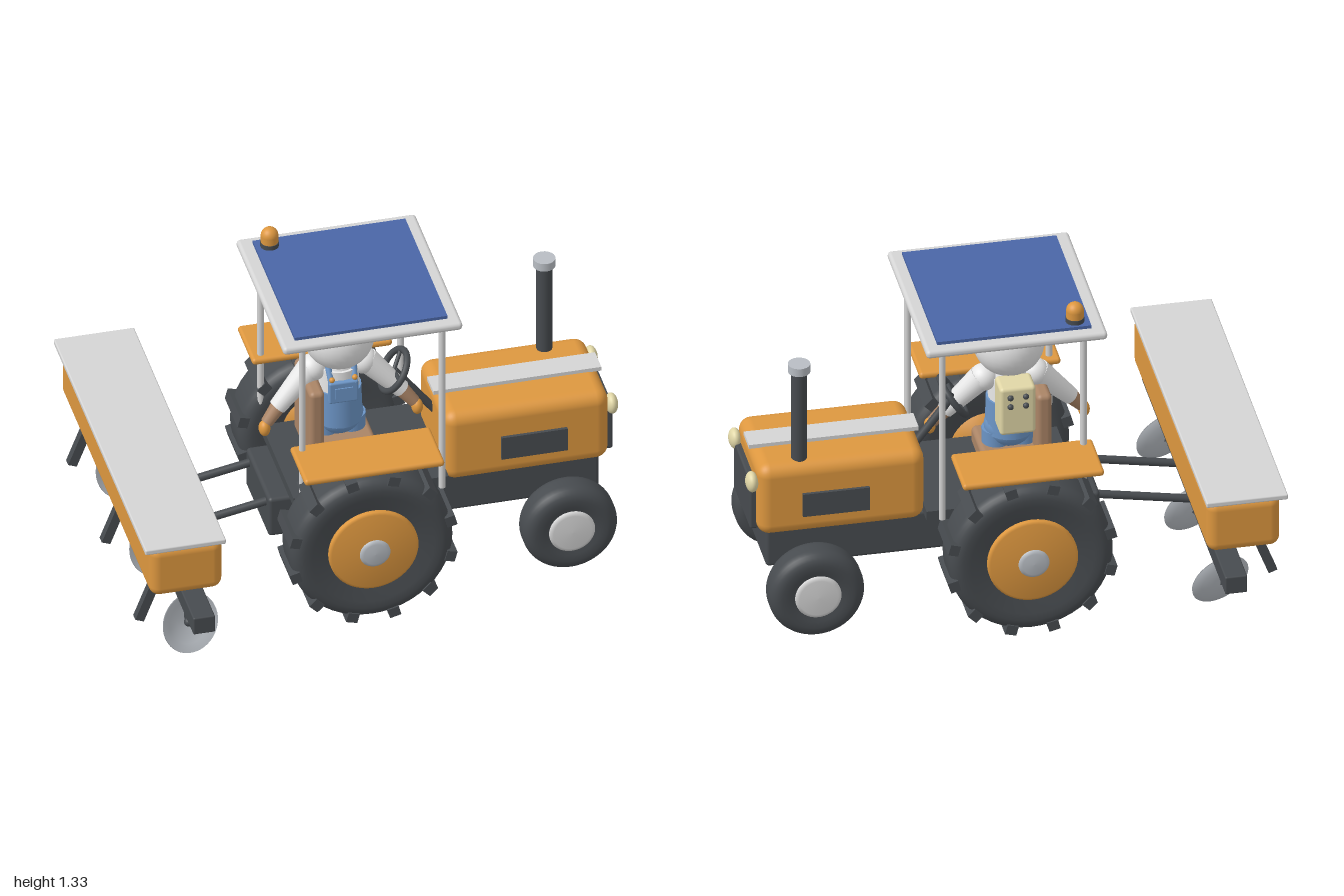
import * as THREE from 'three';
import { RoundedBoxGeometry } from 'three/addons/geometries/RoundedBoxGeometry.js';

const mat = (name, color) => {
  const m = new THREE.MeshStandardMaterial({ color });
  m.name = name;
  return m;
};
const V = (x, y, z) => new THREE.Vector3(x, y, z);

export function createModel() {
  const root = new THREE.Group();
  const orange = mat('orange paint', 0xdd973f);
  const dark = mat('charcoal', 0x474b4f);
  const silver = mat('light grey', 0xd4d4d4);
  const shirt = mat('white', 0xe8e8e8);
  const blue = mat('roof blue', 0x4a66a6);
  const denim = mat('denim blue', 0x6c95c6);
  const cream = mat('straw cream', 0xe0d6a6);
  const brown = mat('brown', 0xaa8466);
  const steel = mat('steel', 0xb8bdc3);
  steel.side = THREE.DoubleSide;

  const add = (name, geo, m, x = 0, y = 0, z = 0, parent = root) => {
    const mesh = new THREE.Mesh(geo, m);
    mesh.name = name;
    mesh.position.set(x, y, z);
    parent.add(mesh);
    return mesh;
  };
  // box given by its extents; r rounds the edges
  const box = (name, m, x0, x1, y0, y1, z0, z1, r = 0, parent = root) => {
    const s = [x1 - x0, y1 - y0, z1 - z0];
    const geo = r ? new RoundedBoxGeometry(...s, 4, r) : new THREE.BoxGeometry(...s);
    return add(name, geo, m, (x0 + x1) / 2, (y0 + y1) / 2, (z0 + z1) / 2, parent);
  };
  // round bar from a to b
  const rod = (name, m, a, b, r0, r1 = r0, parent = root) => {
    const d = b.clone().sub(a);
    const mesh = add(name, new THREE.CylinderGeometry(r1, r0, d.length(), 20), m, 0, 0, 0, parent);
    mesh.position.copy(a).add(b).multiplyScalar(0.5);
    mesh.quaternion.setFromUnitVectors(V(0, 1, 0), d.normalize());
    return mesh;
  };
  const ball = (name, m, x, y, z, r, sx = 1, sy = 1, sz = 1, parent = root) => {
    const mesh = add(name, new THREE.SphereGeometry(r, 28, 18), m, x, y, z, parent);
    mesh.scale.set(sx, sy, sz);
    return mesh;
  };
  // lathe profile turned so that its axis is +z
  const lathe = (pts) =>
    new THREE.LatheGeometry(pts.map((p) => new THREE.Vector2(...p)), 48).rotateX(Math.PI / 2);
  const tyre = (r, hub, w) => {
    const h = w / 2, c = Math.min(0.05, h * 0.7), pts = [[hub, -h * 0.8], [r - c * 1.6, -h]];
    for (let i = 0; i <= 6; i++) {
      const a = (i / 6) * Math.PI / 2;
      pts.push([r - c + c * Math.sin(a), -h + c - c * Math.cos(a)]);
    }
    for (let i = pts.length - 1; i >= 0; i--) pts.push([pts[i][0], -pts[i][1]]);
    return lathe(pts);
  };

  // Chassis, axles and floor
  box('chassis', dark, -0.38, 0.92, 0.225, 0.4, -0.18, 0.18, 0.015);
  box('floor', dark, -0.3, 0.31, 0.4, 0.44, -0.25, 0.25);
  rod('rearAxle', dark, V(-0.05, 0.335, -0.42), V(-0.05, 0.335, 0.42), 0.05);
  rod('frontAxle', dark, V(0.76, 0.2, -0.32), V(0.76, 0.2, 0.32), 0.035);
  box('axleMount', dark, 0.7, 0.82, 0.17, 0.24, -0.1, 0.1);

  // Wheels
  for (const s of [1, -1]) {
    const rear = new THREE.Group();
    rear.name = 'rearWheel';
    rear.position.set(-0.05, 0.335, s * 0.41);
    if (s < 0) rear.rotation.y = Math.PI;
    root.add(rear);
    add('rearTyre', tyre(0.32, 0.15, 0.2), dark, 0, 0, 0, rear);
    for (let i = 0; i < 12; i++) {
      const a = (i + 0.5) * Math.PI / 6;
      const lug = add('lug', new THREE.BoxGeometry(0.04, 0.045, 0.2), dark,
        0.315 * Math.cos(a), 0.315 * Math.sin(a), 0, rear);
      lug.rotation.z = a;
    }
    add('rearRim', lathe([[0, -0.08], [0.176, -0.08], [0.176, 0.1], [0.165, 0.106], [0.07, 0.12], [0, 0.12]]),
      orange, 0, 0, 0, rear);
    add('rearHubCap', lathe([[0.06, 0.1], [0.06, 0.122], [0.045, 0.13], [0, 0.132]]), steel, 0, 0, 0, rear);

    const front = new THREE.Group();
    front.name = 'frontWheel';
    front.position.set(0.76, 0.2, s * 0.325);
    if (s < 0) front.rotation.y = Math.PI;
    root.add(front);
    add('frontTyre', tyre(0.186, 0.07, 0.135), dark, 0, 0, 0, front);
    add('frontRim', lathe([[0, -0.06], [0.09, -0.06], [0.09, 0.066], [0.075, 0.074], [0, 0.076]]),
      silver, 0, 0, 0, front);

    // Fenders, side vents, headlights
    box('fender', orange, -0.325, 0.225, 0.69, 0.718, s * 0.41 - 0.12, s * 0.41 + 0.12, 0.013);
    box('sideVent', dark, 0.525, 0.785, 0.46, 0.56, s * 0.215 - 0.008, s * 0.215 + 0.008);
    ball('headlight', cream, 0.972, 0.605, s * 0.16, 0.041, 0.6);
    // Cab posts
    for (const x of [-0.285, 0.265])
      rod('cabPost', silver, V(x, 0.45, s * 0.325), V(x, 1.215, s * 0.325), 0.013);
  }

  // Hood
  box('hood', orange, 0.305, 0.955, 0.375, 0.685, -0.21, 0.21, 0.05);
  box('hoodStripe', silver, 0.3, 0.96, 0.683, 0.7, -0.05, 0.05);
  box('grille', dark, 0.945, 0.978, 0.39, 0.6, -0.157, 0.157, 0.008);
  rod('exhaust', dark, V(0.785, 0.66, -0.147), V(0.785, 1.075, -0.147), 0.031);
  rod('exhaustCap', steel, V(0.785, 1.07, -0.147), V(0.785, 1.105, -0.147), 0.043);

  // Roof and beacon
  box('roof', silver, -0.37, 0.335, 1.202, 1.236, -0.375, 0.375, 0.015);
  box('roofPanel', blue, -0.315, 0.285, 1.23, 1.249, -0.33, 0.33);
  rod('beaconBase', dark, V(-0.26, 1.24, -0.285), V(-0.26, 1.268, -0.285), 0.036);
  rod('beaconBody', orange, V(-0.26, 1.265, -0.285), V(-0.26, 1.297, -0.285), 0.034);
  ball('beaconDome', orange, -0.26, 1.297, -0.285, 0.034);

  // Seat
  box('seatBack', brown, -0.205, -0.145, 0.5, 0.825, -0.13, 0.13, 0.02);
  box('seatCushion', brown, -0.2, 0.06, 0.49, 0.57, -0.13, 0.13, 0.02);
  rod('seatPost', dark, V(-0.07, 0.42, 0), V(-0.07, 0.5, 0), 0.05);

  // Steering wheel, tilted towards the seat
  const wheel = new THREE.Group();
  wheel.name = 'steeringWheel';
  wheel.position.set(0.157, 0.79, 0);
  wheel.quaternion.setFromUnitVectors(V(0, 0, 1), V(-0.83, 0.55, 0).normalize());
  root.add(wheel);
  add('steeringRim', new THREE.TorusGeometry(0.086, 0.013, 12, 40), dark, 0, 0, 0, wheel);
  for (let i = 0; i < 3; i++) {
    const a = Math.PI / 2 + (i * Math.PI * 2) / 3;
    rod('steeringSpoke', dark, V(0, 0, 0), V(0.086 * Math.cos(a), 0.086 * Math.sin(a), 0), 0.008, 0.008, wheel);
  }
  rod('steeringColumn', dark, V(0.157, 0.79, 0), V(0.34, 0.55, 0), 0.016);

  // Driver
  const driver = new THREE.Group();
  driver.name = 'driver';
  driver.position.x = -0.063;
  root.add(driver);
  ball('head', shirt, 0, 1.008, 0.01, 0.139, 1, 1, 1, driver);
  rod('collar', shirt, V(0, 0.85, 0), V(0, 0.9, 0), 0.075, 0.06, driver);
  rod('shirtBody', shirt, V(0, 0.66, 0), V(0, 0.87, 0), 0.085, 0.08, driver);
  ball('hips', denim, 0, 0.64, 0, 0.098, 1, 0.9, 0.9, driver);
  rod('overalls', denim, V(0, 0.62, 0), V(0, 0.77, 0), 0.094, 0.09, driver);
  box('bib', denim, -0.058, 0.058, 0.74, 0.835, 0.07, 0.095, 0.008, driver);
  box('bibPocket', denim, -0.035, 0.035, 0.765, 0.81, 0.09, 0.1, 0, driver);
  for (const s of [1, -1]) {
    rod('strap', denim, V(s * 0.045, 0.82, 0.085), V(s * 0.05, 0.885, 0.045), 0.012, 0.012, driver);
    ball('strapButton', orange, s * 0.045, 0.848, 0.087, 0.011, 1, 1, 1, driver);
    rod('leg', denim, V(s * 0.055, 0.22, 0), V(s * 0.05, 0.63, 0), 0.048, 0.058, driver);
    ball('boot', brown, s * 0.06, 0.21, 0.02, 0.078, 0.65, 0.52, 1, driver);
    ball('shoulder', shirt, s * 0.1, 0.86, 0, 0.054, 1, 1, 1, driver);
    rod('sleeve', shirt, V(s * 0.11, 0.86, 0), V(s * 0.245, 0.715, 0.025), 0.05, 0.034, driver);
    rod('forearm', brown, V(s * 0.24, 0.72, 0.025), V(s * 0.29, 0.66, 0.04), 0.031, 0.024, driver);
    ball('glove', orange, s * 0.3, 0.64, 0.045, 0.03, 0.75, 1.1, 0.9, driver);
    ball('packBuckle', dark, s * 0.03, 0.86, -0.172, 0.012, 1, 1, 1, driver);
    ball('packBuckle', dark, s * 0.03, 0.82, -0.172, 0.012, 1, 1, 1, driver);
  }
  box('backpack', cream, -0.07, 0.07, 0.69, 0.9, -0.17, -0.06, 0.015, driver);
  const hat = new THREE.Group();
  hat.name = 'strawHat';
  hat.position.set(0, 1.115, 0.005);
  hat.rotation.set(0.06, 0, -0.06);
  driver.add(hat);
  add('hatBrim', new THREE.LatheGeometry([[0, 0.02], [0.06, 0.01], [0.12, -0.006], [0.16, 0], [0.16, 0.008],
    [0.12, 0.004], [0.06, 0.02], [0, 0.03]].map((p) => new THREE.Vector2(...p)), 40), cream, 0, 0, 0, hat);
  rod('hatBand', brown, V(0, 0.012, 0), V(0, 0.03, 0), 0.064, 0.063, hat);
  add('hatCrown', new THREE.LatheGeometry([[0.063, 0], [0.061, 0.052], [0.05, 0.066], [0, 0.068]]
    .map((p) => new THREE.Vector2(...p)), 32), cream, 0, 0, 0, hat);

  // Towed seeder
  box('hopper', orange, -0.975, -0.69, 0.4, 0.625, -0.707, 0.707, 0.04);
  box('hopperLid', silver, -1, -0.683, 0.617, 0.64, -0.72, 0.72, 0.006);
  box('toolBar', dark, -0.828, -0.742, 0.262, 0.338, -0.785, 0.785, 0.006);
  for (const z of [-0.45, 0.45]) box('hopperBracket', dark, -0.81, -0.76, 0.33, 0.42, z - 0.025, z + 0.025);
  for (const s of [1, -1])
    rod('drawBar', dark, V(-0.76, 0.29, s * 0.13), V(-0.3, 0.375, s * 0.13), 0.016);
  const dish = lathe([[0, -0.02], [0.05, -0.015], [0.09, -0.004], [0.12, 0.012],
    [0.118, 0.018], [0.085, 0.003], [0.045, -0.008], [0, -0.012]]);
  for (const z of [-0.525, 0, 0.525]) {
    const disc = add('disc', dish, steel, -0.785, 0.148, z + 0.015);
    disc.quaternion.setFromUnitVectors(V(0, 0, 1), V(0.3, 0.33, 1).normalize());
    ball('discHub', dark, -0.785, 0.148, z + 0.015, 0.018);
    rod('discArm', dark, V(-0.785, 0.15, z), V(-0.785, 0.28, z), 0.015);
    const tine = box('tine', dark, -0.953, -0.917, 0.18, 0.42, z - 0.017, z + 0.017);
    tine.rotation.z = -0.37;
  }
  return root;
}
